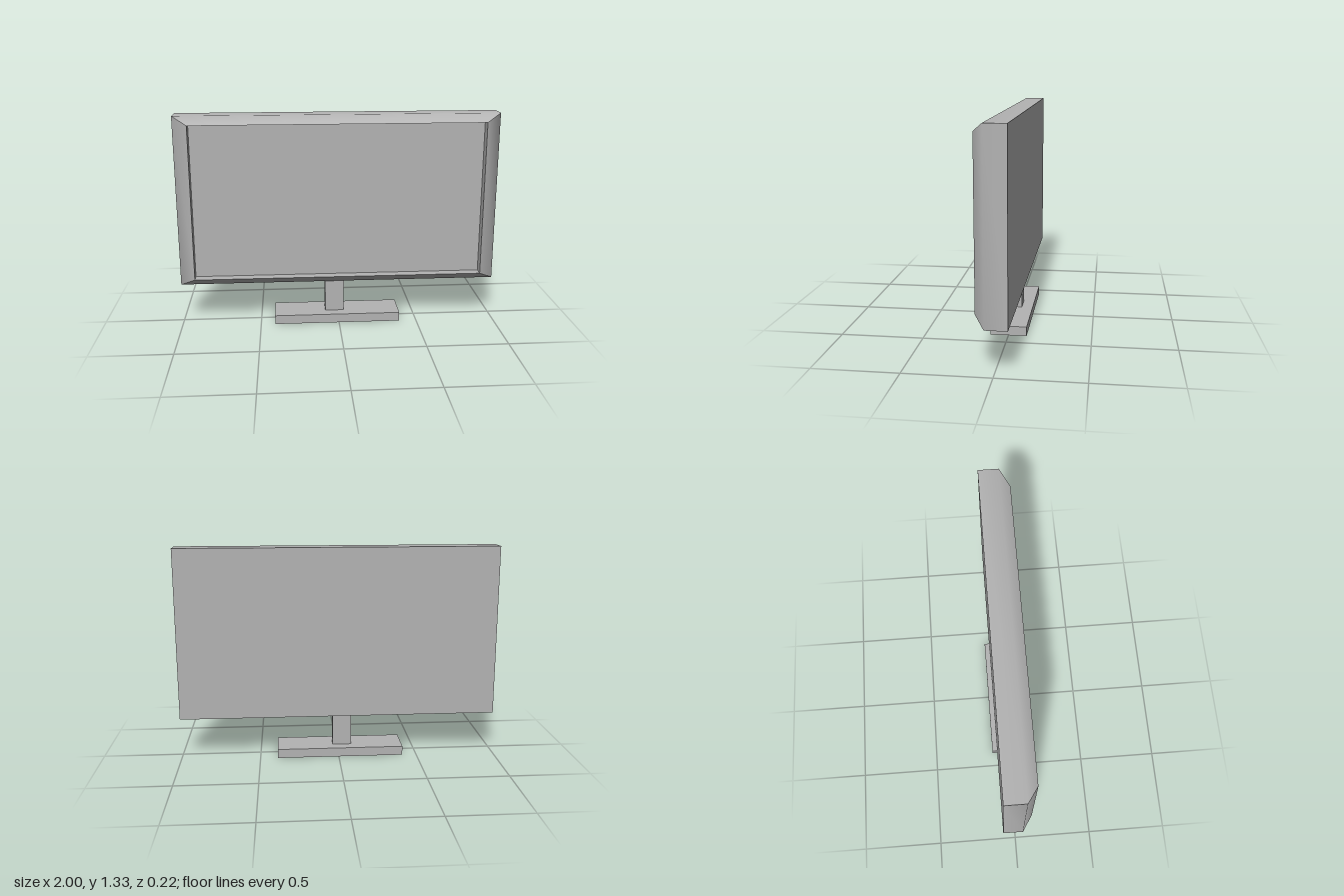
import * as THREE from 'three';

const W = 1, BOTTOM = 0.262, TOP = 1.333;          // outer housing
const IW = 0.905, IBOTTOM = 0.313, ITOP = 1.283;   // screen opening
const BACK = -0.08, MID = 0.047, FRONT = 0.11;     // depth of back, screen and rim

// Rectangle corners, counter-clockwise from the front
const ring = (w, y0, y1, z) =>
  [[-w, y0, z], [w, y0, z], [w, y1, z], [-w, y1, z]];

// Joins two rings with four strips; the corners stay sharp
function loft(rings) {
  const pos = [], idx = [];
  for (let s = 0; s < 4; s++) {
    const base = pos.length / 3;
    for (const r of rings) pos.push(...r[s], ...r[(s + 1) % 4]);
    for (let i = 0; i < rings.length - 1; i++) {
      const a = base + i * 2;
      idx.push(a, a + 1, a + 3, a, a + 3, a + 2);
    }
  }
  const g = new THREE.BufferGeometry();
  g.setAttribute('position', new THREE.Float32BufferAttribute(pos, 3));
  g.setIndex(idx);
  g.computeVertexNormals();
  return g;
}

export function createModel() {
  const group = new THREE.Group();
  const grey = new THREE.MeshStandardMaterial({ color: 0xb3b3b3 });
  grey.name = 'grey';

  const add = (name, geometry, x = 0, y = 0, z = 0) => {
    const mesh = new THREE.Mesh(geometry, grey);
    mesh.name = name;
    mesh.position.set(x, y, z);
    group.add(mesh);
    return mesh;
  };

  // Sides flowing smoothly into the sloping bezel
  add('housing', loft([
    ring(W, BOTTOM, TOP, BACK),
    ring(W, BOTTOM, TOP, MID),
    ring(IW, IBOTTOM, ITOP, FRONT),
  ]));

  // Straight inner walls down to the recessed screen
  add('screenRecess', loft([
    ring(IW, IBOTTOM, ITOP, FRONT),
    ring(IW, IBOTTOM, ITOP, MID),
  ]));
  add('screen', new THREE.PlaneGeometry(IW * 2, ITOP - IBOTTOM), 0, (ITOP + IBOTTOM) / 2, MID);
  add('backPanel', new THREE.PlaneGeometry(W * 2, TOP - BOTTOM), 0, (TOP + BOTTOM) / 2, BACK)
    .rotation.y = Math.PI;

  // Stand, slightly off centre
  add('neck', new THREE.BoxGeometry(0.12, BOTTOM - 0.057, 0.08), -0.025, (BOTTOM + 0.057) / 2, 0);
  add('base', new THREE.BoxGeometry(0.8, 0.057, 0.22), -0.01, 0.0285, 0);

  return group;
}
